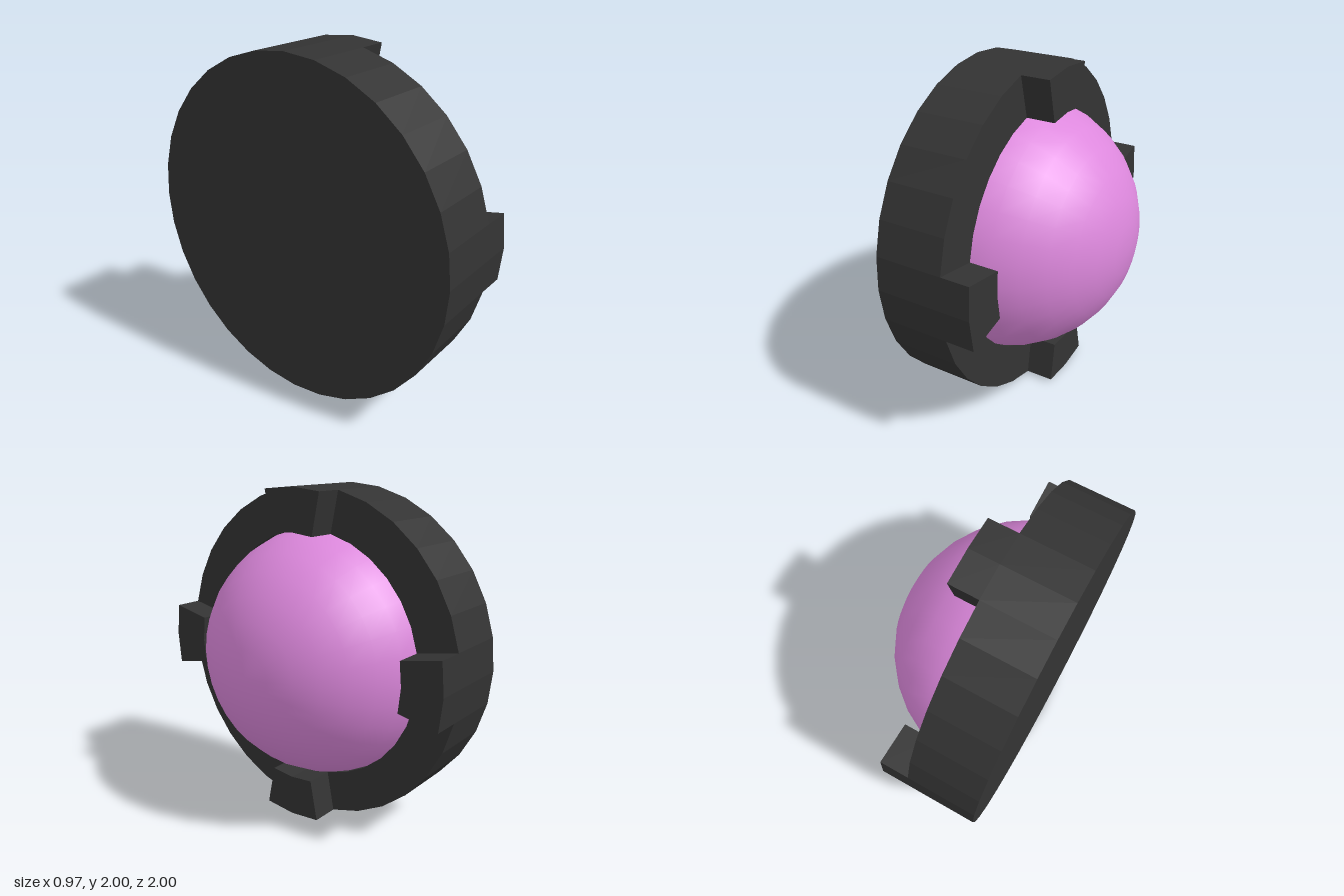
import * as THREE from 'three';

const SIDES = 32, STEP = (Math.PI * 2) / SIDES;
const OUTER = 1, INNER = 0.75;
const BACK = -0.49, RIM = -0.09, LUG_TOP = 0.08, DOME_BASE = -0.29;

export function createModel() {
  const group = new THREE.Group();
  const dark = new THREE.MeshStandardMaterial({ color: 0x333333, flatShading: true });
  const pink = new THREE.MeshStandardMaterial({ color: 0xdd88dd });

  const add = (name, geometry, material) => {
    const mesh = new THREE.Mesh(geometry, material);
    mesh.name = name;
    mesh.position.y = OUTER;
    group.add(mesh);
    return mesh;
  };

  // Round housing: closed back, thick wall and a recess opening to +x
  const profile = [
    [0, BACK], [OUTER, BACK], [OUTER, RIM], [INNER, RIM], [INNER, DOME_BASE], [0, DOME_BASE],
  ].map(([r, h]) => new THREE.Vector2(r, h));
  add('housing', new THREE.LatheGeometry(profile, SIDES).rotateZ(-Math.PI / 2), dark);

  // Smooth dome seated in the recess
  const dome = new THREE.SphereGeometry(0.77, SIDES, 8, 0, Math.PI * 2, 0, Math.PI / 2);
  add('dome', dome.rotateZ(-Math.PI / 2).translate(DOME_BASE, 0, 0), pink);

  // Four lugs on the rim, each two facets wide and flush with the wall
  const arc = (r, k) => new THREE.Vector2(r * Math.sin(k * STEP), r * Math.cos(k * STEP));
  const lugShape = new THREE.Shape([
    arc(OUTER, -1), arc(OUTER, 0), arc(OUTER, 1),
    arc(INNER, 1), arc(INNER, 0), arc(INNER, -1),
  ]);
  const lugGeometry = new THREE.ExtrudeGeometry(lugShape, { depth: LUG_TOP - RIM, bevelEnabled: false });
  lugGeometry.rotateY(Math.PI / 2).translate(RIM, 0, 0);
  ['topLug', 'frontLug', 'bottomLug', 'backLug'].forEach((name, i) => {
    add(name, lugGeometry, dark).rotation.x = (i * Math.PI) / 2;
  });

  return group;
}
